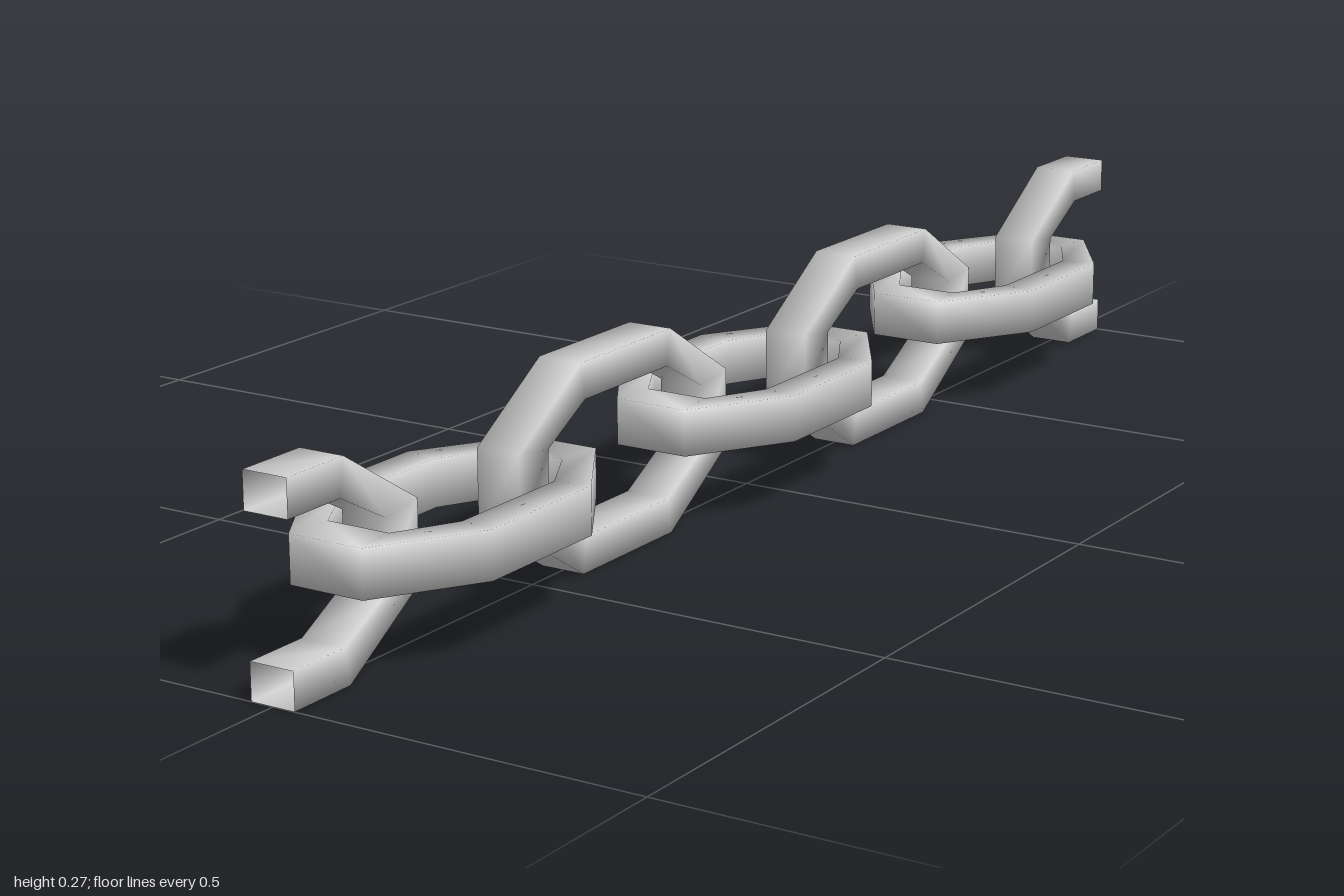
import * as THREE from 'three';

const HALF_THICK = 0.031, MID_Y = 0.136, PITCH = 2 / 3;

// Quarter outline of a link as [across, along] pairs: outer and inner edge
const OUTER = [[0.136, 0.1], [0.052, 0.233]];
const INNER = [[0.088, 0.092], [0.044, 0.172]];

// Half outline, running from one long side round the tip to the other
const halfLoop = (q) => [...q, ...q.slice().reverse().map(([a, b]) => [-a, b])];
const turned = (pts) => pts.map(([a, b]) => [-a, -b]);

// Sweeps a square section between the outer and inner outlines, with shared smooth normals
function barGeometry(outer, inner, closed) {
  const pos = [], index = [], n = outer.length, h = HALF_THICK;
  outer.forEach(([a, b], i) => {
    const [c, d] = inner[i];
    pos.push(a, h, b, c, h, d, c, -h, d, a, -h, b);
  });
  for (let i = 0; i < (closed ? n : n - 1); i++) {
    const j = (i + 1) % n;
    for (let k = 0; k < 4; k++) {
      const l = (k + 1) % 4;
      const a = i * 4 + k, b = i * 4 + l, c = j * 4 + l, d = j * 4 + k;
      index.push(a, c, b, a, d, c);
    }
  }
  const g = new THREE.BufferGeometry();
  g.setAttribute('position', new THREE.Float32BufferAttribute(pos, 3));
  // Keep the winding facing outward
  for (let t = 0; t < index.length; t += 3) [index[t + 1], index[t + 2]] = [index[t + 2], index[t + 1]];
  const A = new THREE.Vector3().fromArray(pos, index[0] * 3);
  const B = new THREE.Vector3().fromArray(pos, index[1] * 3);
  const C = new THREE.Vector3().fromArray(pos, index[2] * 3);
  // The first strip is the top face, so its normal must point up
  if (B.sub(A).cross(C.sub(A)).y < 0) index.reverse();
  g.setIndex(index);
  g.computeVertexNormals();
  return g;
}

export function createModel() {
  const chain = new THREE.Group();
  chain.name = 'chain';
  const metal = new THREE.MeshStandardMaterial({ color: 0xcccccc, side: THREE.DoubleSide });

  const o = halfLoop(OUTER), n = halfLoop(INNER);
  const link = barGeometry([...o, ...turned(o)], [...n, ...turned(n)], true);

  // Half link, cut open across its long sides
  const ends = (pts, w) => [[w, 0], ...pts, [-w, 0]];
  const halfLink = barGeometry(ends(o, OUTER[0][0]), ends(n, INNER[0][0]), false);

  const add = (name, geometry, z, upright, flip = false) => {
    const mesh = new THREE.Mesh(geometry, metal);
    mesh.name = name;
    mesh.position.set(0, MID_Y, z);
    mesh.rotation.set(0, flip ? Math.PI : 0, upright ? Math.PI / 2 : 0);
    chain.add(mesh);
  };

  // Flat links alternate with upright ones
  for (let i = -1; i <= 1; i++) add('flatLink', link, i * PITCH, false);
  for (const s of [-1, 1]) {
    add('uprightLink', link, s * PITCH / 2, true);
    add('endHalfLink', halfLink, s, true, s > 0);
  }
  return chain;
}
